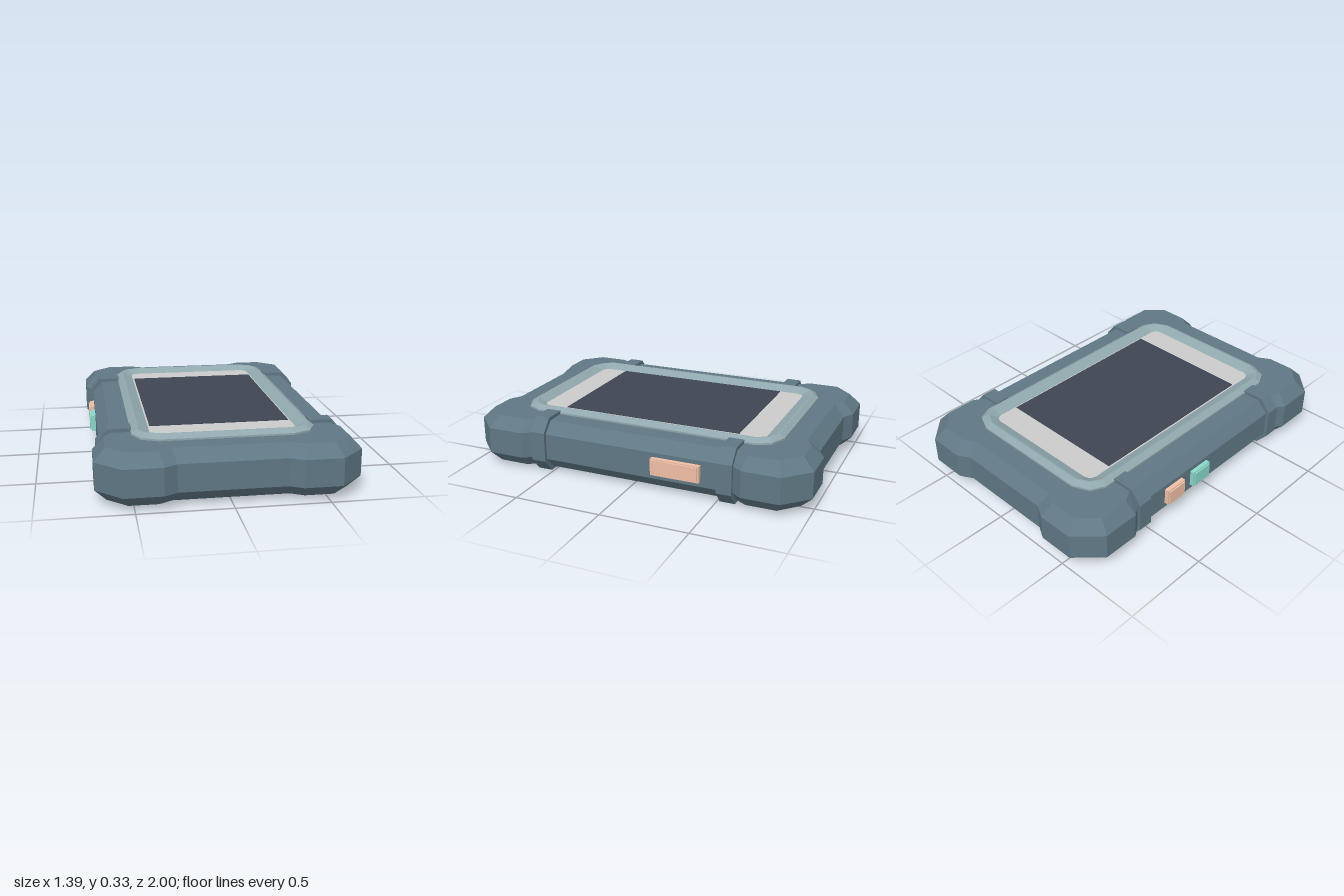
import * as THREE from 'three';

const mat = (color) => new THREE.MeshStandardMaterial({ color, flatShading: true });

// Mirror a quarter outline of [x, z] points into a full closed ring
function mirrorRing(quarter) {
  const back = [...quarter].reverse();
  return [
    ...quarter,
    ...back.map(([x, z]) => [-x, z]),
    ...quarter.map(([x, z]) => [-x, -z]),
    ...back.map(([x, z]) => [x, -z]),
  ];
}

// Skin stacked levels { y, ring } from first to last, optionally capping both ends
function loft(levels, capped) {
  const pos = [];
  const put = (level, i) => {
    const [x, z] = level.ring[i % level.ring.length];
    pos.push(x, level.y, z);
  };
  for (let k = 0; k + 1 < levels.length; k++) {
    const lo = levels[k], hi = levels[k + 1];
    for (let i = 0; i < lo.ring.length; i++) {
      put(lo, i); put(hi, i); put(lo, i + 1);
      put(hi, i); put(hi, i + 1); put(lo, i + 1);
    }
  }
  const cap = (level, up) => {
    const pts = level.ring.map(([x, z]) => new THREE.Vector2(x, z));
    for (const [a, b, c] of THREE.ShapeUtils.triangulateShape(pts, [])) {
      const ccw = THREE.ShapeUtils.area([pts[a], pts[b], pts[c]]) > 0;
      put(level, a);
      if (ccw === up) { put(level, c); put(level, b); } else { put(level, b); put(level, c); }
    }
  };
  if (capped) {
    cap(levels[0], false);
    cap(levels[levels.length - 1], true);
  }
  const geo = new THREE.BufferGeometry();
  geo.setAttribute('position', new THREE.Float32BufferAttribute(pos, 3));
  geo.computeVertexNormals();
  return geo;
}

export function createModel() {
  const model = new THREE.Group();
  model.name = 'ruggedHandheld';
  const bodyMat = mat(0x607885), bezelMat = mat(0x90a8ad);
  const orange = mat(0xf0bfa5), teal = mat(0x8ad8ca);
  const add = (name, geo, material, parent = model) => {
    const mesh = new THREE.Mesh(geo, material);
    mesh.name = name;
    parent.add(mesh);
    return mesh;
  };

  // Chamfered body with bulging corner bumpers
  const wide = mirrorRing([[0.655, 0.6], [0.695, 0.655], [0.695, 0.865], [0.56, 1], [0.355, 1], [0.285, 0.96]]);
  const inset = mirrorRing([[0.595, 0.6], [0.635, 0.665], [0.635, 0.835], [0.53, 0.935], [0.375, 0.935], [0.305, 0.895]]);
  add('body', loft([
    { y: 0.02, ring: inset }, { y: 0.085, ring: wide },
    { y: 0.235, ring: wide }, { y: 0.3, ring: inset },
  ], true), bodyMat);

  // Straps round the body, open on top where the screen frame sits
  const half = [[0.61, 0], [0.675, 0.075], [0.675, 0.245], [0.61, 0.32], [0.485, 0.32], [0.485, 0.25]];
  const outline = [...half, ...[...half].reverse().map(([x, y]) => [-x, y])];
  const strap = new THREE.Shape(outline.map(([x, y]) => new THREE.Vector2(x, y)));
  for (const [name, z] of [['frontStrap', 0.515], ['backStrap', -0.6]]) {
    const geo = new THREE.ExtrudeGeometry(strap, { depth: 0.085, bevelEnabled: false });
    add(name, geo, bodyMat).position.z = z;
  }

  // Screen frame: outer slope, narrow crest, inner slope
  const outer = mirrorRing([[0.49, 0.66], [0.45, 0.74], [0.355, 0.783]]);
  const crestOut = mirrorRing([[0.46, 0.655], [0.425, 0.715], [0.35, 0.752]]);
  const crestIn = mirrorRing([[0.45, 0.65], [0.418, 0.707], [0.347, 0.742]]);
  const inner = mirrorRing([[0.392, 0.645], [0.38, 0.673], [0.352, 0.685]]);
  add('screenFrame', loft([
    { y: 0.295, ring: outer }, { y: 0.31, ring: outer }, { y: 0.33, ring: crestOut },
    { y: 0.33, ring: crestIn }, { y: 0.305, ring: inner },
  ], false), bezelMat);

  // Pale face panel and dark display
  add('facePanel', loft([{ y: 0.29, ring: inner }, { y: 0.305, ring: inner }], true), mat(0xcccccc));
  add('display', new THREE.BoxGeometry(0.765, 0.02, 1.065), mat(0x3f4653)).position.set(0, 0.299, -0.003);

  // Side buttons: a base plate with a slightly smaller raised face
  const buttons = [
    ['leftButton', 1, -0.28, 0.28, orange],
    ['rightUpperButton', -1, -0.317, 0.135, orange],
    ['rightLowerButton', -1, -0.108, 0.135, teal],
  ];
  for (const [name, side, z, length, material] of buttons) {
    const button = new THREE.Group();
    button.name = name;
    button.position.set(side * 0.655, 0.163, z);
    add('buttonBase', new THREE.BoxGeometry(0.05, 0.096, length), material, button);
    add('buttonFace', new THREE.BoxGeometry(0.066, 0.082, length - 0.016), material, button);
    model.add(button);
  }
  return model;
}
